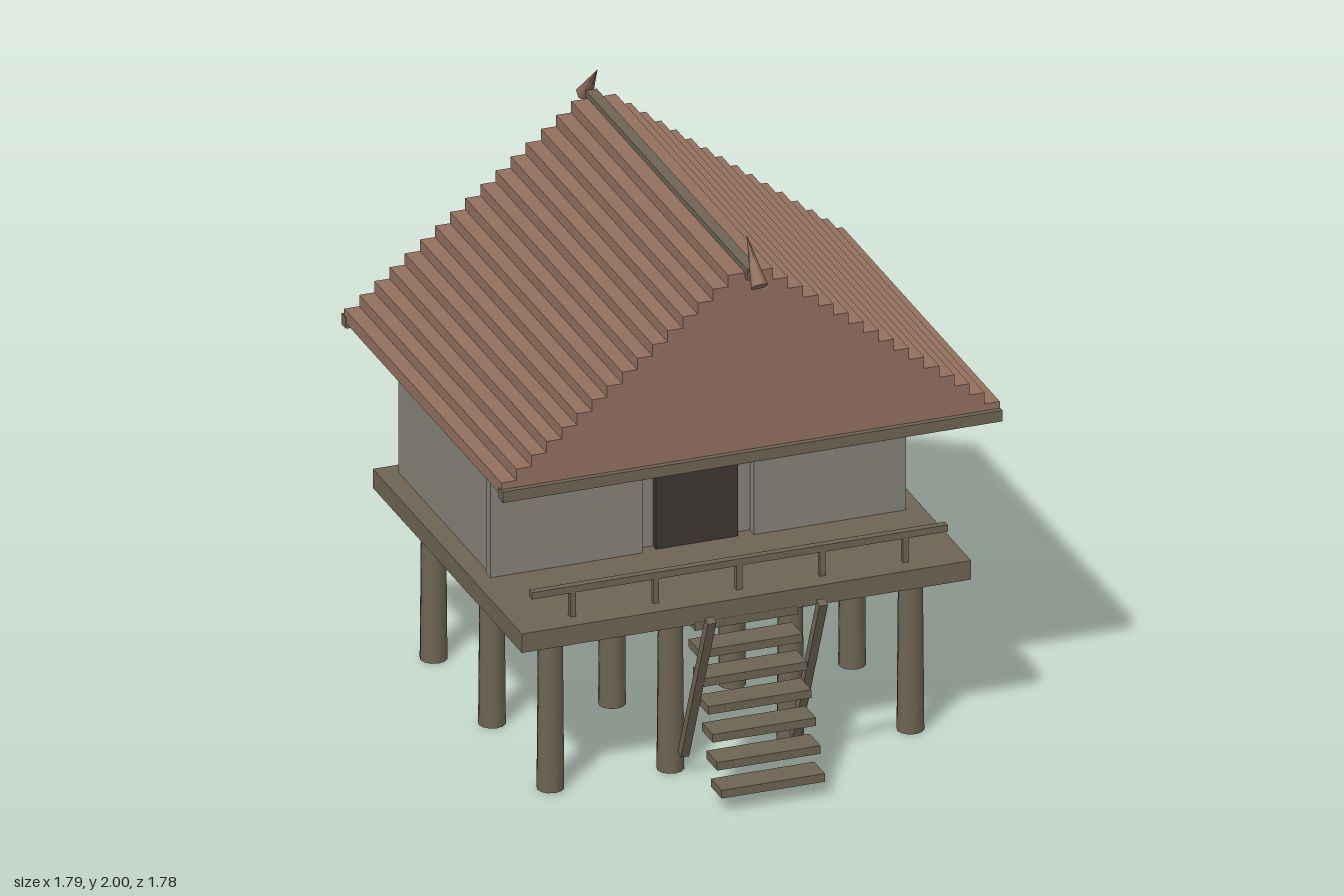
import * as THREE from 'three';

const mat = (color) => new THREE.MeshStandardMaterial({ color });
const wood = mat(0x6e6454);
const wall = mat(0x86827a);
const thatch = mat(0x93705f);
const dark = mat(0x3b3633);
const glass = mat(0x7a8490);
const MID_Z = -0.05; // middle of the house from front to back

export function createModel() {
  const model = new THREE.Group();

  const add = (name, geometry, material, x = 0, y = 0, z = 0) => {
    const mesh = new THREE.Mesh(geometry, material);
    mesh.name = name;
    mesh.position.set(x, y, z);
    model.add(mesh);
    return mesh;
  };

  // Box given by its lowest and highest corner
  const box = (name, material, [x0, y0, z0], [x1, y1, z1]) =>
    add(name, new THREE.BoxGeometry(x1 - x0, y1 - y0, z1 - z0), material,
      (x0 + x1) / 2, (y0 + y1) / 2, (z0 + z1) / 2);

  // Stilts: four across, three deep
  const stilt = new THREE.CylinderGeometry(0.042, 0.047, 0.59, 12);
  for (const x of [-0.645, -0.215, 0.215, 0.645])
    for (const dz of [-0.545, 0, 0.545]) add('stilt', stilt, wood, x, 0.295, MID_Z + dz);

  // Platform
  box('platform', wood, [-0.805, 0.59, -0.745], [0.805, 0.66, 0.645]);

  // House body, front panels either side of the doorway, and door
  box('houseBody', wall, [-0.735, 0.66, -0.69], [0.735, 1.205, 0.155]);
  box('frontWallLeft', wall, [0.2, 0.66, 0.155], [0.745, 1.205, 0.195]);
  box('frontWallRight', wall, [-0.745, 0.66, 0.155], [-0.2, 1.205, 0.195]);
  box('door', dark, [-0.147, 0.66, 0.155], [0.147, 1.16, 0.185]);

  // Back windows
  for (const x of [0.43, -0.28, -0.43])
    box('window', glass, [x - 0.058, 0.85, -0.692], [x + 0.058, 1.1, -0.68]);

  // Stepped roof: a staircase outline extruded from back to front
  const STEPS = 16;
  const right = [];
  for (let i = 0; i < STEPS; i++) {
    const x = 0.893 - i * 0.0542;
    right.push([x, i ? 1.25 + (i - 1) * 0.042 : 1.204], [x, 1.25 + i * 0.042]);
  }
  const left = right.map(([x, y]) => [-x, y]).reverse();
  const outline = new THREE.Shape([...right, ...left].map(([x, y]) => new THREE.Vector2(x, y)));
  const roof = new THREE.ExtrudeGeometry(outline, { depth: 1.466, bevelEnabled: false });
  add('roof', roof, thatch, 0, 0, MID_Z - 0.733);

  // Ridge beam and the beams under each gable
  box('ridgeBeam', wood, [-0.02, 1.86, -0.805], [0.02, 1.9, 0.705]);
  for (const s of [-1, 1]) {
    const z = MID_Z + s * 0.733;
    box('gableBeam', wood, [-0.895, 1.185, z - 0.02], [0.895, 1.225, z + 0.02]);

    // Ridge horn, its tip leaning inward
    const horn = add('ridgeHorn', new THREE.ConeGeometry(0.03, 0.185, 6), thatch,
      0, 1.931, MID_Z + s * 0.756);
    horn.rotation.x = -s * 0.72;
  }

  // Railing along the front of the platform
  box('handrail', wood, [-0.745, 0.75, 0.557], [0.745, 0.775, 0.583]);
  for (let i = -2; i <= 2; i++)
    box('railPost', wood, [i * 0.298 - 0.01, 0.66, 0.56], [i * 0.298 + 0.01, 0.75, 0.58]);

  // Stairs: seven treads
  for (let i = 0; i < 7; i++) {
    const y = 0.072 + i * 0.085;
    const z = 0.845 - i * 0.0415;
    box('tread', wood, [-0.185, y - 0.015, z - 0.05], [0.185, y + 0.015, z + 0.05]);
  }

  // Sloping side rails of the stairs
  for (const s of [-1, 1]) {
    const rail = add('stairRail', new THREE.BoxGeometry(0.03, 0.655, 0.03), wood, s * 0.2, 0.388, 0.705);
    rail.rotation.x = 0.398;
  }

  return model;
}
